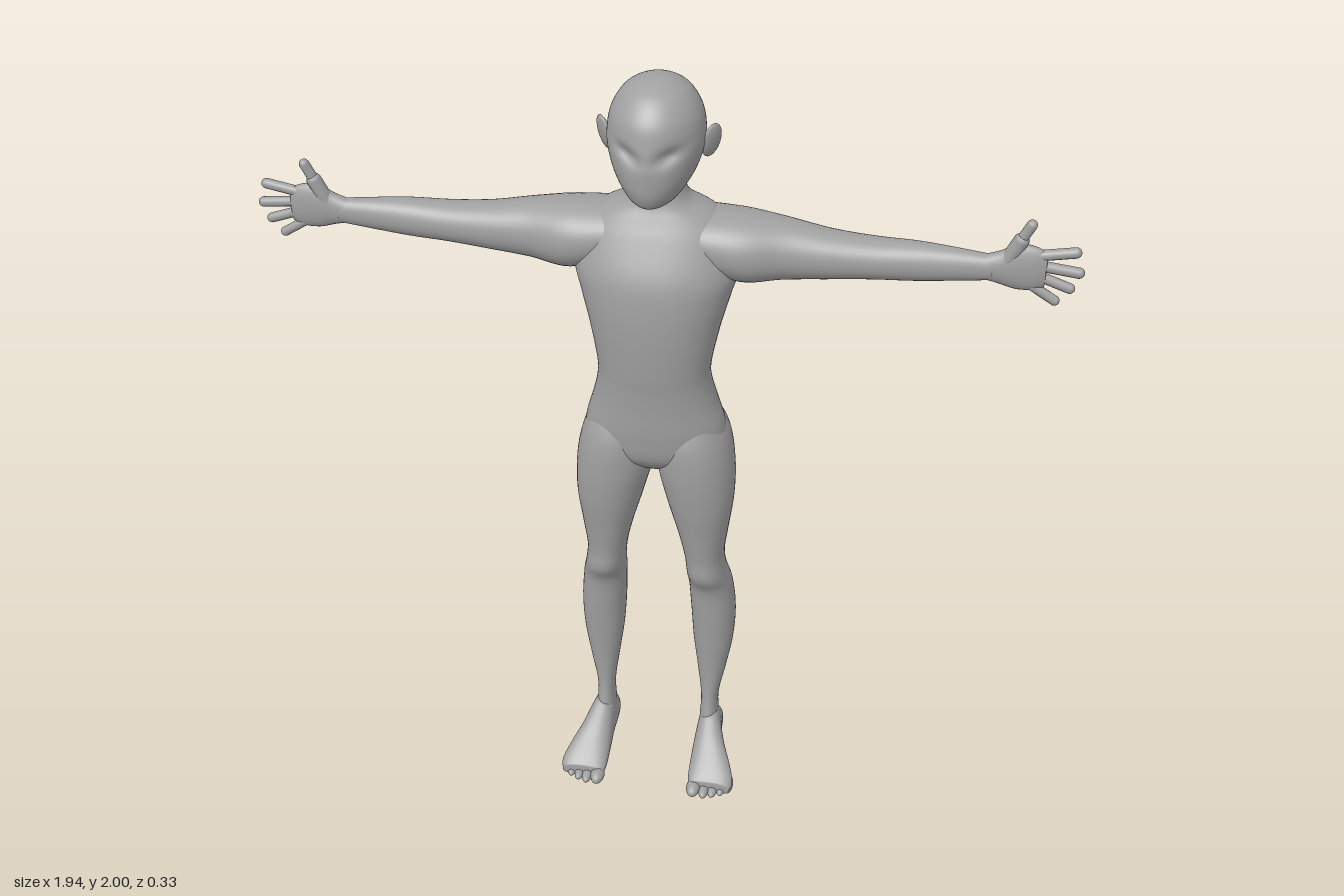
import * as THREE from 'three';

const skin = new THREE.MeshStandardMaterial({ color: 0xa0a0a0 });
skin.name = 'plain grey';

const gauss = (d, w) => Math.exp(-(d * d) / (w * w));

// Smooth Catmull-Rom value through the rows of a section table
function sample(rows, t) {
  const i = Math.min(Math.floor(t), rows.length - 2), f = t - i;
  const at = (k) => rows[Math.max(0, Math.min(rows.length - 1, k))];
  return rows[0].map((_, c) => {
    const [a, b, d, e] = [at(i - 1)[c], at(i)[c], at(i + 1)[c], at(i + 2)[c]];
    return b + 0.5 * f * (d - a + f * (2 * a - 5 * b + 4 * d - e + f * (3 * (b - d) + e - a)));
  });
}

// Closed skin over oval sections [position, min1, max1, min2, max2].
// place(p, u, v) turns section coordinates into a point.
function loft(name, rows, place, { seg = 40, sub = 6, power = 2.15 } = {}) {
  const pos = [], idx = [], n = (rows.length - 1) * sub;
  const add = (p, u, v) => pos.push(...place(p, u, v));
  for (let j = 0; j <= n; j++) {
    const [p, u0, u1, v0, v1] = sample(rows, j / sub);
    for (let k = 0; k < seg; k++) {
      const a = (k / seg) * Math.PI * 2, c = Math.cos(a), s = Math.sin(a);
      const u = Math.sign(c) * Math.abs(c) ** (2 / power);
      const v = Math.sign(s) * Math.abs(s) ** (2 / power);
      add(p, (u0 + u1) / 2 + (u * (u1 - u0)) / 2, (v0 + v1) / 2 + (v * (v1 - v0)) / 2);
    }
  }
  for (const r of [rows[0], rows[rows.length - 1]]) add(r[0], (r[1] + r[2]) / 2, (r[3] + r[4]) / 2);
  const capA = (n + 1) * seg, capB = capA + 1;
  for (let k = 0; k < seg; k++) {
    const k2 = (k + 1) % seg;
    for (let j = 0; j < n; j++) {
      const a = j * seg + k, b = j * seg + k2, c = a + seg, d = b + seg;
      idx.push(a, c, b, b, c, d);
    }
    idx.push(capA, k, k2, capB, n * seg + k2, n * seg + k);
  }
  // Turn the faces outward whichever way the sections run
  const P = (i) => new THREE.Vector3().fromArray(pos, i * 3);
  let volume = 0;
  for (let i = 0; i < idx.length; i += 3) volume += P(idx[i]).dot(P(idx[i + 1]).cross(P(idx[i + 2])));
  if (volume < 0) idx.reverse();
  const g = new THREE.BufferGeometry();
  g.setAttribute('position', new THREE.Float32BufferAttribute(pos, 3));
  g.setIndex(idx);
  g.computeVertexNormals();
  const m = new THREE.Mesh(g, skin);
  m.name = name;
  return m;
}

function ellipsoid(name, center, size) {
  const m = new THREE.Mesh(new THREE.SphereGeometry(1, 24, 16), skin);
  m.position.set(...center);
  m.scale.set(...size);
  m.name = name;
  return m;
}

// Rounded rod whose tip ends exactly at b
function digit(name, a, b, r) {
  const A = new THREE.Vector3(...a), B = new THREE.Vector3(...b);
  const dir = B.clone().sub(A).normalize();
  B.addScaledVector(dir, -r);
  const m = new THREE.Mesh(new THREE.CapsuleGeometry(r, A.distanceTo(B), 6, 14), skin);
  m.position.copy(A).add(B).multiplyScalar(0.5);
  m.quaternion.setFromUnitVectors(new THREE.Vector3(0, 1, 0), dir);
  m.name = name;
  return m;
}

// Section tables: [y, -x, +x, back z, front z]
const torsoRows = [
  [1.80, -0.055, 0.055, -0.10, 0.0], [1.745, -0.06, 0.06, -0.108, 0.008], [1.705, -0.08, 0.08, -0.125, 0.02],
  [1.675, -0.14, 0.14, -0.143, 0.035], [1.63, -0.182, 0.182, -0.16, 0.06], [1.55, -0.195, 0.195, -0.165, 0.097],
  [1.48, -0.178, 0.178, -0.152, 0.109], [1.4, -0.157, 0.157, -0.132, 0.11], [1.3, -0.138, 0.138, -0.107, 0.103],
  [1.25, -0.139, 0.139, -0.107, 0.097], [1.19, -0.153, 0.153, -0.122, 0.092], [1.11, -0.174, 0.174, -0.13, 0.087],
  [1.04, -0.165, 0.165, -0.11, 0.072], [0.995, -0.08, 0.08, -0.07, 0.03],
];
const headRows = [
  [2.0, -0.005, 0.005, -0.04, -0.03], [1.995, -0.037, 0.037, -0.078, 0.005], [1.973, -0.075, 0.075, -0.118, 0.05],
  [1.93, -0.102, 0.102, -0.148, 0.086], [1.88, -0.111, 0.111, -0.158, 0.1], [1.84, -0.107, 0.107, -0.152, 0.105],
  [1.80, -0.094, 0.094, -0.137, 0.107], [1.765, -0.074, 0.074, -0.11, 0.103], [1.738, -0.05, 0.05, -0.07, 0.09],
  [1.726, -0.015, 0.015, 0.0, 0.07],
];
const legRows = [
  [1.17, 0.04, 0.14, -0.1, 0.05], [1.09, 0.006, 0.181, -0.145, 0.08], [1.0, 0.006, 0.199, -0.136, 0.084],
  [0.9, 0.03, 0.2, -0.115, 0.075], [0.8, 0.058, 0.188, -0.1, 0.058], [0.72, 0.076, 0.179, -0.095, 0.046],
  [0.66, 0.082, 0.185, -0.105, 0.042], [0.6, 0.085, 0.198, -0.121, 0.012], [0.5, 0.09, 0.207, -0.14, 0.0],
  [0.4, 0.097, 0.203, -0.132, -0.01], [0.3, 0.11, 0.187, -0.115, -0.019], [0.2, 0.122, 0.169, -0.1, -0.02],
  [0.12, 0.12, 0.172, -0.105, -0.005], [0.06, 0.12, 0.176, -0.118, 0.01],
];
// [z, inner x, outer x, bottom y, top y]
const footRows = [
  [-0.137, 0.137, 0.16, 0.02, 0.05], [-0.125, 0.123, 0.175, 0.003, 0.09], [-0.08, 0.118, 0.18, 0, 0.14],
  [-0.03, 0.117, 0.186, 0, 0.155], [0.02, 0.115, 0.202, 0, 0.128], [0.07, 0.114, 0.225, 0, 0.092],
  [0.11, 0.115, 0.238, 0, 0.062], [0.135, 0.12, 0.232, 0.005, 0.042],
];
// [x, bottom y, top y, back z, front z]
const armRows = [
  [0.09, 1.55, 1.68, -0.15, 0.04], [0.2, 1.515, 1.677, -0.152, 0.045], [0.3, 1.524, 1.664, -0.131, 0.018],
  [0.4, 1.535, 1.649, -0.111, 0.008], [0.5, 1.544, 1.641, -0.102, 0.0], [0.6, 1.55, 1.641, -0.09, -0.006],
  [0.7, 1.563, 1.637, -0.07, -0.01], [0.77, 1.573, 1.632, -0.056, -0.013],
];
const handRows = [
  [0.74, 1.575, 1.63, -0.056, -0.014], [0.78, 1.567, 1.645, -0.056, -0.012], [0.82, 1.557, 1.668, -0.053, -0.01],
  [0.86, 1.558, 1.664, -0.048, -0.012], [0.885, 1.568, 1.652, -0.042, -0.018],
];

export function createModel() {
  const model = new THREE.Group();
  model.name = 'figure';

  // Torso with a groove along the spine
  model.add(loft('torso', torsoRows, (y, x, z) => {
    const groove = z < -0.04 ? 0.014 * gauss(x, 0.035) * gauss(y - 1.36, 0.25) : 0;
    return [x, y, z + groove];
  }, { seg: 56 }));

  // Head with slanted eye hollows and a faint nose
  model.add(loft('head', headRows, (y, x, z) => {
    if (z < 0.01) return [x, y, z];
    const ax = Math.abs(x);
    const eye = gauss(ax - 0.047, 0.028) * gauss(y - 1.862 - 0.35 * (ax - 0.047), 0.017);
    const nose = gauss(x, 0.018) * gauss(y - 1.835, 0.025);
    return [x, y, z - 0.016 * eye + 0.003 * nose];
  }, { seg: 72, sub: 9, power: 2 }));

  for (const s of [1, -1]) {
    const side = s > 0 ? 'left' : 'right';
    const add = (...parts) => model.add(...parts);

    // Ear, swept outward and back
    const ear = ellipsoid(side + 'Ear', [s * 0.122, 1.855, -0.04], [0.01, 0.043, 0.027]);
    ear.rotation.set(0, s * -0.7, s * -0.22);
    add(ear);

    // Leg and foot
    add(loft(side + 'Leg', legRows, (y, x, z) => [s * x, y, z]));
    add(loft(side + 'Foot', footRows, (z, x, y) => [s * x, y, z], { power: 2.4 }));
    const toes = [[0.134, 0.168, 0.019], [0.163, 0.166, 0.014], [0.186, 0.158, 0.0135], [0.208, 0.147, 0.013], [0.227, 0.133, 0.012]];
    toes.forEach(([x, tip, r], i) =>
      add(ellipsoid(side + 'Toe' + (i + 1), [s * x, r, tip - 0.032], [r, r, 0.032])));

    // Arm and palm
    add(loft(side + 'Arm', armRows, (x, y, z) => [s * x, y, z]));
    add(loft(side + 'Palm', handRows, (x, y, z) => [s * x, y, z], { seg: 28 }));

    // Fingers: [base x, base y, tip x, tip y, radius]
    const fingers = [
      [0.855, 1.642, 0.957, 1.661, 0.0125], [0.86, 1.62, 0.97, 1.608, 0.0125],
      [0.86, 1.597, 0.953, 1.565, 0.012], [0.85, 1.573, 0.922, 1.529, 0.0115],
    ];
    fingers.forEach(([x0, y0, x1, y1, r], i) =>
      add(digit(side + 'Finger' + (i + 1), [s * x0, y0, -0.03], [s * x1, y1, -0.03], r)));
    add(digit(side + 'ThumbBase', [s * 0.797, 1.625, -0.03], [s * 0.83, 1.695, -0.026], 0.018));
    add(digit(side + 'Thumb', [s * 0.815, 1.665, -0.027], [s * 0.846, 1.732, -0.022], 0.0125));
  }
  return model;
}
